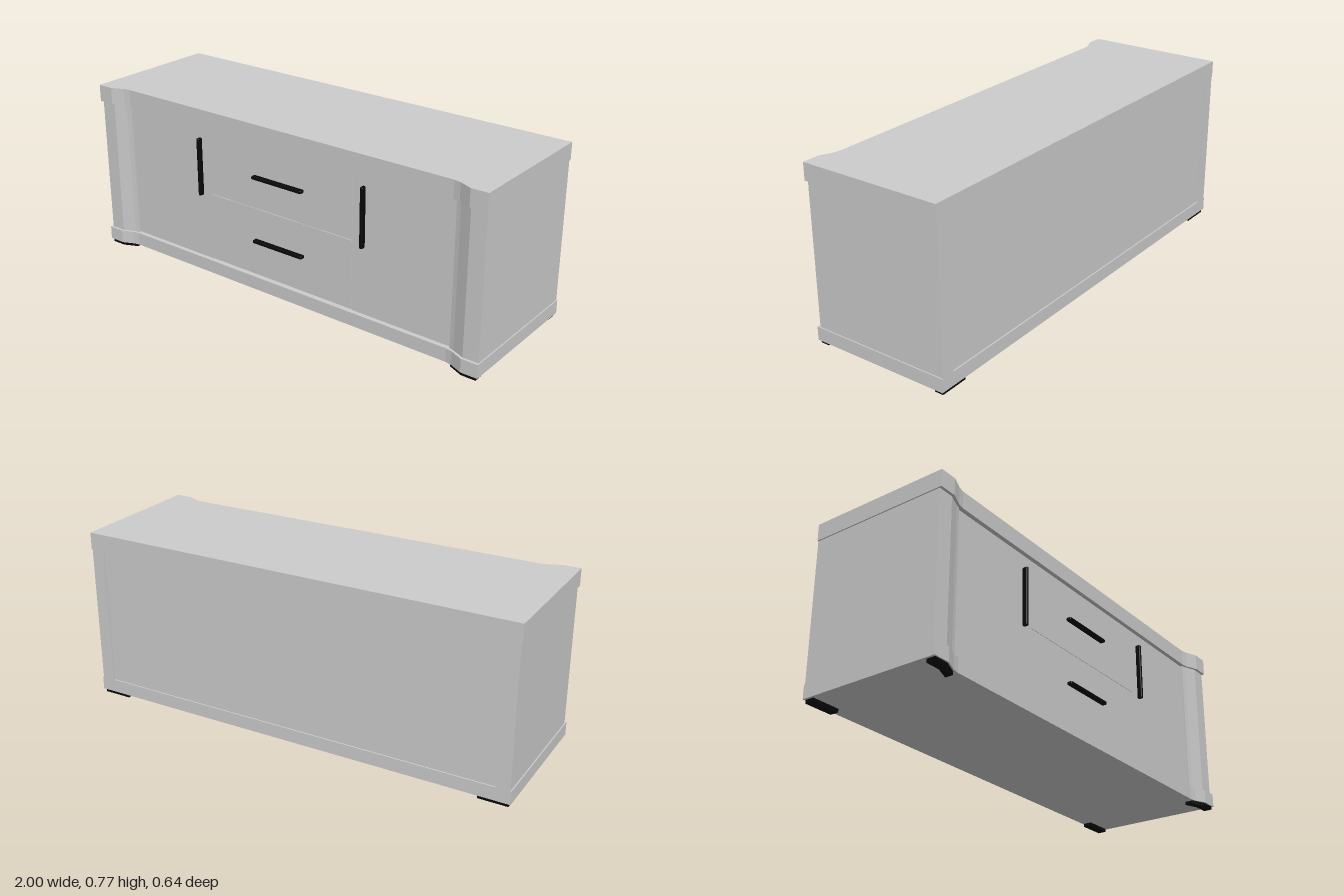
import * as THREE from 'three';
import { RoundedBoxGeometry } from 'three/addons/geometries/RoundedBoxGeometry.js';

const grey = new THREE.MeshStandardMaterial({ color: 0xcccccc });
const black = new THREE.MeshStandardMaterial({ color: 0x080808 });

// Extrudes a plan outline of [x, z] points from height y0 to y1
function planSolid(name, points, y0, y1, material = grey) {
  const shape = new THREE.Shape(points.map(([x, z]) => new THREE.Vector2(x, -z)));
  const geometry = new THREE.ExtrudeGeometry(shape, { depth: y1 - y0, bevelEnabled: false });
  geometry.rotateX(-Math.PI / 2).translate(0, y0, 0);
  const mesh = new THREE.Mesh(geometry, material);
  mesh.name = name;
  return mesh;
}

function box(name, x0, x1, y0, y1, z0, z1) {
  const mesh = new THREE.Mesh(new THREE.BoxGeometry(x1 - x0, y1 - y0, z1 - z0), grey);
  mesh.position.set((x0 + x1) / 2, (y0 + y1) / 2, (z0 + z1) / 2);
  mesh.name = name;
  return mesh;
}

function handle(name, x, y, width, height) {
  const mesh = new THREE.Mesh(new RoundedBoxGeometry(width, height, 0.024, 2, 0.005), black);
  mesh.position.set(x, y, 0.283);
  mesh.name = name;
  return mesh;
}

const mirror = (points, side) => points.map(([x, z]) => [x * side, z]);

export function createModel() {
  const model = new THREE.Group();
  model.name = 'sideboard';

  // Top and base share a front edge that steps back between the corners
  const halfEdge = [[1, -0.32], [1, 0.32], [0.925, 0.32], [0.87, 0.296], [0.84, 0.29]];
  const slab = [...halfEdge, ...mirror(halfEdge, -1).reverse()];
  model.add(planSolid('topBoard', slab, 0.7, 0.775));
  model.add(planSolid('baseBoard', slab, 0.015, 0.075));

  // Back panel, set in slightly between the sides
  model.add(box('backPanel', -0.94, 0.94, 0.075, 0.7, -0.314, -0.29));

  // Side panels with their angled front posts, doors and feet
  const post = [[0.995, -0.32], [0.995, 0.308], [0.925, 0.308], [0.87, 0.285],
    [0.85, 0.28], [0.85, 0.24], [0.935, 0.24], [0.935, -0.32]];
  const frontFoot = [[0.99, 0.314], [0.925, 0.314], [0.86, 0.285], [0.86, 0.25], [0.925, 0.275], [0.99, 0.275]];
  const backFoot = [[0.99, -0.314], [0.86, -0.314], [0.86, -0.275], [0.99, -0.275]];
  for (const [side, label] of [[1, 'left'], [-1, 'right']]) {
    model.add(planSolid(label + 'SidePanel', mirror(post, side), 0.075, 0.7));
    model.add(planSolid(label + 'FrontFoot', mirror(frontFoot, side), 0, 0.015, black));
    model.add(planSolid(label + 'BackFoot', mirror(backFoot, side), 0, 0.015, black));

    const door = box(label + 'Door', 0.377, 0.849, 0.077, 0.699, 0.245, 0.272);
    door.position.x *= side;
    model.add(door, handle(label + 'DoorHandle', side * 0.432, 0.508, 0.015, 0.264));
  }

  // Two wide drawers in the middle
  for (const [label, y0, y1, handleY] of [['lower', 0.079, 0.389, 0.243], ['upper', 0.391, 0.699, 0.537]]) {
    model.add(box(label + 'Drawer', -0.375, 0.375, y0, y1, 0.245, 0.272));
    model.add(handle(label + 'DrawerHandle', 0, handleY, 0.264, 0.015));
  }

  return model;
}
